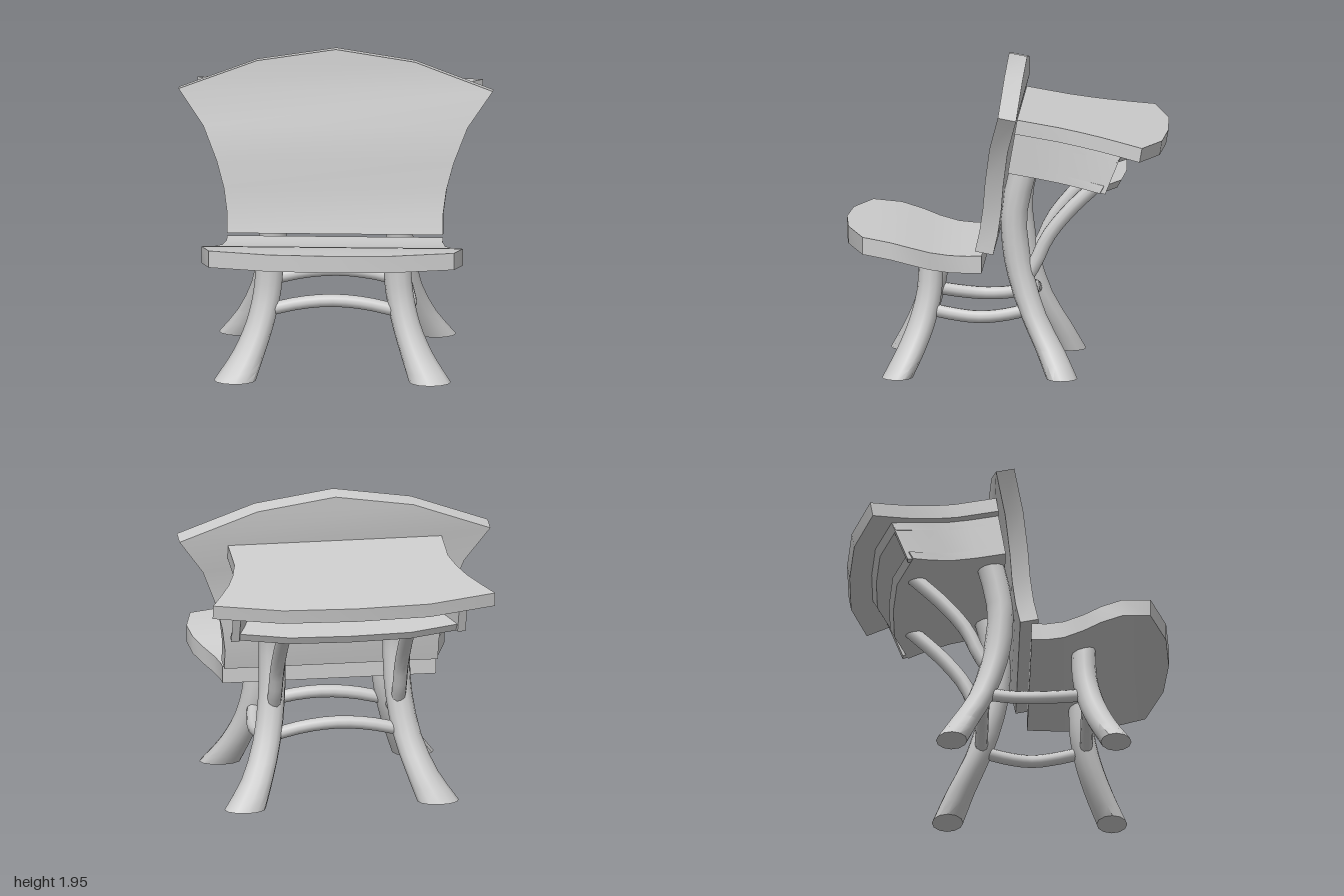
import * as THREE from 'three';
import { toCreasedNormals } from 'three/addons/utils/BufferGeometryUtils.js';

const material = new THREE.MeshStandardMaterial({ color: 0xcccccc });

// Skin a list of closed rings (each an array of [x, y, z]) and cap both ends.
function loft(rings) {
  const n = rings[0].length, index = [];
  for (let i = 0; i < rings.length - 1; i++) {
    for (let j = 0; j < n; j++) {
      const a = i * n + j, b = i * n + (j + 1) % n;
      index.push(a, b, b + n, a, b + n, a + n);
    }
  }
  const last = (rings.length - 1) * n;
  for (let j = 1; j < n - 1; j++) {
    index.push(0, j + 1, j, last, last + j, last + j + 1);
  }
  const geometry = new THREE.BufferGeometry();
  geometry.setAttribute('position', new THREE.Float32BufferAttribute(rings.flat(2), 3));
  geometry.setIndex(index);
  return toCreasedNormals(geometry, 0.7);
}

function add(parent, name, geometry) {
  const mesh = new THREE.Mesh(geometry, material);
  mesh.name = name;
  parent.add(mesh);
  return mesh;
}

// Plank from stations [xMin, xMax, yLow, zLow, yHigh, zHigh].
const plank = (stations) => loft(stations.map(([x0, x1, y0, z0, y1, z1]) =>
  [[x0, y0, z0], [x1, y0, z0], [x1, y1, z1], [x0, y1, z1]]));

// Leg from horizontal rings [x, y, z, radiusX, radiusZ], listed upwards.
function leg(stations, side) {
  const curve = new THREE.CatmullRomCurve3(stations.map(([x, y, z]) => new THREE.Vector3(x, y, z)));
  const radii = new THREE.CatmullRomCurve3(stations.map((s) => new THREE.Vector3(s[3], 0, s[4])));
  const rings = [];
  for (let i = 0; i <= 12; i++) {
    const p = curve.getPoint(i / 12), r = radii.getPoint(i / 12);
    rings.push(Array.from({ length: 12 }, (_, j) => {
      const a = j / 12 * Math.PI * 2;
      return [side * p.x + r.x * Math.cos(a), p.y, p.z - r.z * Math.sin(a)];
    }));
  }
  return loft(rings);
}

// Round branch through a few points.
const branch = (points, radius) => new THREE.TubeGeometry(
  new THREE.CatmullRomCurve3(points.map((p) => new THREE.Vector3(...p))), 10, radius, 10);

export function createModel() {
  const model = new THREE.Group();
  model.name = 'chairWithRearDesk';

  // Seat: half width, z, top height; dips towards the back
  const seat = [
    [0.67, 0.13, 0.775], [0.67, 0.22, 0.773], [0.69, 0.33, 0.78], [0.74, 0.45, 0.805],
    [0.79, 0.56, 0.84], [0.81, 0.69, 0.877], [0.76, 0.865, 0.902], [0.38, 0.97, 0.912], [0, 0.995, 0.915],
  ];
  add(model, 'seat', plank(seat.map(([w, z, y]) => [-w, w, y - 0.108, z, y, z])));

  // Backrest: half width, height, front z; flares out to a peaked top
  const back = [
    [0.67, 0.804, 0.172], [0.67, 0.93, 0.143], [0.69, 1.08, 0.121], [0.735, 1.25, 0.106],
    [0.82, 1.47, 0.075], [0.975, 1.69, 0.016], [0.49, 1.87, -0.003], [0, 1.945, -0.01],
  ];
  add(model, 'backrest', plank(back.map(([w, y, z]) => [-w, w, y, z, y - 0.022, z - 0.113])));

  // Desk, built level and then tilted down towards the rear
  const desk = new THREE.Group();
  desk.name = 'desk';
  desk.position.set(0, 1.63, -0.09);
  desk.rotation.x = -0.174;
  model.add(desk);

  const top = [
    [0, 0.924], [0.46, 0.905], [0.885, 0.797], [0.81, 0.66], [0.745, 0.53],
    [0.70, 0.40], [0.67, 0.265], [0.67, 0],
  ];
  add(desk, 'deskTop', plank(top.map(([w, d]) => [-w, w, -0.09, -d, 0, -d])));

  // Storage box under the desk: curved shelves, flared sides, open at the rear
  const shelf = (rear, high, low, cut) => plank([
    [0, rear], [0.38, rear - 0.015], [0.735, rear - 0.11], [0.665, 0.46], [0.615, 0.32], [0.60, 0.18], [0.60, 0],
  ].map(([w, d], i) => [-w, w, low, -d + (i < 3 ? cut : 0), high, -d]));
  add(desk, 'boxTop', shelf(0.785, -0.09, -0.143, 0.02));
  add(desk, 'boxBottom', shelf(0.713, -0.30, -0.352, 0.018));
  const wall = [
    [0.735, 0.675, 0.62], [0.665, 0.46, 0.46], [0.615, 0.32, 0.32], [0.60, 0.18, 0.18], [0.60, 0, 0],
  ];
  for (const side of [1, -1]) {
    add(desk, side > 0 ? 'leftBoxWall' : 'rightBoxWall', plank(wall.map(([w, d1, d0]) => {
      const x = [side * w, side * (w - 0.05)].sort((a, b) => a - b);
      return [...x, -0.35, -d0, -0.09, -d1];
    })));
  }
  const boxFront = new THREE.BoxGeometry(1.18, 0.25, 0.05);
  add(desk, 'boxFrontWall', boxFront.translate(0, -0.22, -0.026));

  // Splayed legs, desk braces and side stretchers
  const frontLeg = [
    [0.605, 0, 0.655, 0.13, 0.095], [0.515, 0.17, 0.57, 0.10, 0.09], [0.45, 0.34, 0.505, 0.088, 0.084],
    [0.41, 0.52, 0.465, 0.086, 0.078], [0.393, 0.72, 0.457, 0.086, 0.075],
  ];
  const rearLeg = [
    [0.605, 0, -0.365, 0.13, 0.097], [0.515, 0.17, -0.285, 0.10, 0.09], [0.44, 0.38, -0.178, 0.088, 0.082],
    [0.40, 0.62, -0.10, 0.085, 0.083], [0.39, 0.81, -0.067, 0.085, 0.084], [0.39, 1.02, -0.06, 0.085, 0.084],
    [0.395, 1.28, -0.118, 0.085, 0.088],
  ];
  for (const side of [1, -1]) {
    const label = side > 0 ? 'left' : 'right';
    add(model, label + 'FrontLeg', leg(frontLeg, side));
    add(model, label + 'RearLeg', leg(rearLeg, side));
    add(model, label + 'DeskBrace', branch([
      [side * 0.39, 0.60, -0.135], [side * 0.39, 0.70, -0.195], [side * 0.39, 0.85, -0.265],
      [side * 0.39, 1.02, -0.40], [side * 0.39, 1.21, -0.60],
    ], 0.045));
    add(model, label + 'Stretcher', branch([
      [side * 0.43, 0.40, 0.45], [side * 0.455, 0.375, 0.30], [side * 0.47, 0.362, 0.16],
      [side * 0.455, 0.37, 0.02], [side * 0.43, 0.40, -0.14],
    ], 0.04));
  }

  // Arched stretchers across the front and rear pairs of legs
  for (const [name, z] of [['frontStretcher', 0.49], ['rearStretcher', -0.16]]) {
    add(model, name, branch([
      [-0.40, 0.41, z], [-0.20, 0.455, z], [0, 0.472, z], [0.20, 0.455, z], [0.40, 0.41, z],
    ], 0.04));
  }
  return model;
}
